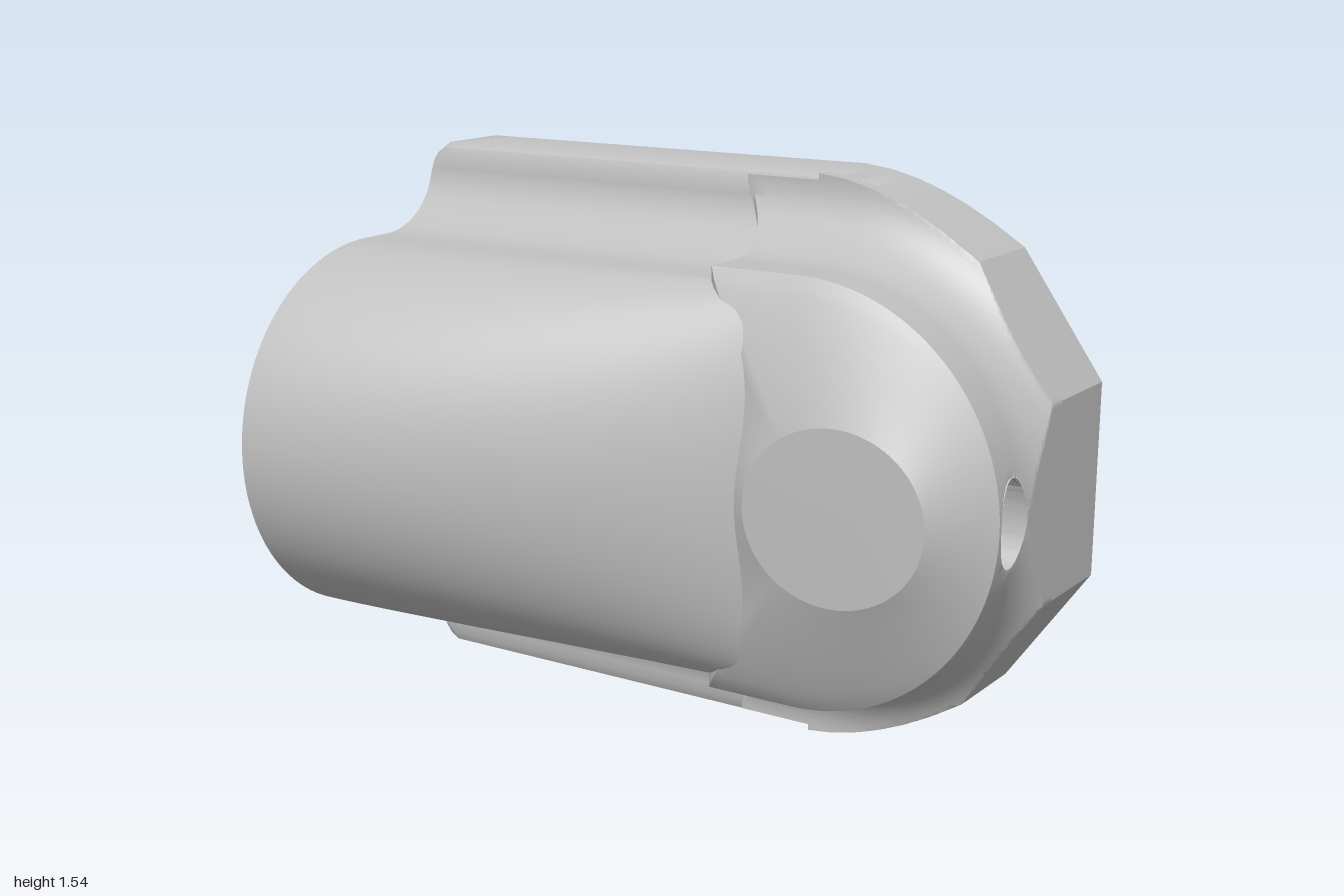
import * as THREE from 'three';
import { toCreasedNormals } from 'three/addons/utils/BufferGeometryUtils.js';

const CY = 0.773;            // height of the mirror line
const BACK = -0.54, FRONT = -0.285, RIM = 0.04, FLARE_TOP = -0.07;
const BOSS_X = 0.43, BOSS_R = 0.565;

// Half height of the base plate along x
const EDGE = [[-1, 0.735], [-0.985, 0.755], [-0.96, 0.772], [0.3, 0.772], [0.38, 0.762], [0.46, 0.742],
  [0.53, 0.717], [0.6, 0.686], [0.68, 0.643], [0.77, 0.587], [1, 0.26]];
function plateHalf(x) {
  for (let i = 1; i < EDGE.length; i++) {
    const [x0, y0] = EDGE[i - 1], [x1, y1] = EDGE[i];
    if (x <= x1) return y0 + (y1 - y0) * (x - x0) / (x1 - x0);
  }
  return 0.26;
}

// Height of the sloping ridge along x
function ridge(x) {
  if (x > 0.3) return THREE.MathUtils.mapLinear(x, 0.3, 0.6, 0.182, 0.07);
  return 0.54 - 0.245 * Math.pow(Math.max(0, x + 1), 1.45);
}

// Outward flare of the walls where they run into the plate
function flare(z) {
  const w = Math.min(1, Math.max(0, (FLARE_TOP - z) / (FLARE_TOP - FRONT)));
  return 0.19 * (1 - Math.sqrt(1 - w * w));
}

// Skin over closed rings of equal length, with optional end fans
function loft(rings, capStart, capEnd) {
  const n = rings[0].length, pos = [], idx = [];
  rings.forEach(r => r.forEach(p => pos.push(p[0], p[1] + CY, p[2])));
  for (let i = 0; i < rings.length - 1; i++) for (let j = 0; j < n; j++) {
    const a = i * n + j, b = i * n + (j + 1) % n, c = a + n, d = b + n;
    idx.push(a, b, c, b, d, c);
  }
  const fan = (row, flip) => {
    const c = pos.length / 3, m = [0, 0, 0];
    rings[row].forEach(p => p.forEach((v, k) => { m[k] += v / n; }));
    pos.push(m[0], m[1] + CY, m[2]);
    for (let j = 0; j < n; j++) {
      const a = row * n + j, b = row * n + (j + 1) % n;
      idx.push(c, flip ? b : a, flip ? a : b);
    }
  };
  if (capStart) fan(0, true);
  if (capEnd) fan(rings.length - 1, false);
  const g = new THREE.BufferGeometry();
  g.setAttribute('position', new THREE.Float32BufferAttribute(pos, 3));
  g.setIndex(idx);
  return toCreasedNormals(g, 0.6);
}

// Mirror the +y half of a section and join both halves through an arch
function archSection(x, side, half, base, top) {
  const ring = side.map(([y, z]) => [x, y, z]);
  for (let i = 0; i <= 48; i++) {
    const a = Math.PI * i / 48;
    ring.push([x, half * Math.cos(a), base + (top - base) * Math.sin(a)]);
  }
  [...side].reverse().forEach(([y, z]) => ring.push([x, -y, z]));
  return ring;
}

function bodySection(x) {
  const p = plateHalf(x);
  const side = [[p, BACK], [p, -0.325], [p - 0.012, -0.298], [p - 0.04, FRONT]];
  for (let i = 1; i < 16; i++) {
    const z = FLARE_TOP - (FLARE_TOP - FRONT) * Math.sin(Math.PI / 2 * (1 - i / 16));
    side.push([Math.min(p - 0.04, 0.53 + flare(z)), z]);
  }
  return archSection(x, side, 0.53, 0.01, ridge(x));
}

const cavitySection = x => archSection(x, [[0.4, -0.32], [0.4, -0.01]], 0.4, 0, ridge(x) - 0.17);

// D-shaped boss outline, grown by f and trimmed to the plate
function bossOutline(f, z) {
  const r = BOSS_R + f, xl = 0.18 - f * 0.5, pts = [];
  for (let i = 0; i <= 240; i++) {
    const t = -Math.PI / 2 + Math.PI * i / 240;
    pts.push([BOSS_X + r * Math.cos(t), r * Math.sin(t)]);
  }
  for (let i = 1; i <= 8; i++) pts.push([BOSS_X + (xl - BOSS_X) * i / 8, r]);
  for (let i = 1; i <= 24; i++) pts.push([xl, r - 2 * r * i / 24]);
  for (let i = 1; i < 8; i++) pts.push([xl + (BOSS_X - xl) * i / 8, -r]);
  return pts.map(([x, y]) => {
    const inside = k => {
      const px = BOSS_X + (x - BOSS_X) * k;
      return px <= 1 && Math.abs(y * k) <= plateHalf(px);
    };
    let lo = 0, hi = 1;
    if (inside(1)) lo = 1;
    else for (let i = 0; i < 22; i++) { const m = (lo + hi) / 2; if (inside(m)) lo = m; else hi = m; }
    return [BOSS_X + (x - BOSS_X) * lo, y * lo, z];
  });
}

// Sink the round hole into the end of the boss
function drill(p) {
  const [x, y, z] = p, q = Math.hypot(y / 0.115, (z + 0.04) / 0.07);
  if (x < 0.9 || q > 1.1) return p;
  if (q < 0.85) return [x - 0.35, y * 1.12, -0.04 + (z + 0.04) * 1.12];
  return [x, y / q, -0.04 + (z + 0.04) / q];
}

// Boss wall and the dome narrowing to a slightly tilted pad
function bossRings() {
  const rings = [];
  for (let i = 0; i < 60; i++) {
    const z = RIM - (RIM - FRONT) * Math.sin(Math.PI / 2 * (1 - i / 60));
    rings.push(bossOutline(flare(z), z).map(drill));
  }
  const rim = bossOutline(0, RIM);
  for (let i = 0; i <= 14; i++) {
    const s = i / 14;
    rings.push(rim.map(([x, y]) => {
      const a = Math.atan2(y, x - 0.61), ex = 0.61 + 0.245 * Math.cos(a), ey = 0.228 * Math.sin(a);
      const padZ = 0.186 - 0.063 * (ex - 0.365);
      const power = 0.85 + 0.25 * Math.cos(a);
      return [x + (ex - x) * s, y + (ey - y) * s, RIM + (padZ - RIM) * Math.pow(s, power)];
    }));
  }
  return rings;
}

export function createModel() {
  const group = new THREE.Group();
  const grey = new THREE.MeshStandardMaterial({ color: 0xc0c0c0 });
  grey.name = 'plain grey';
  const add = (name, geometry) => {
    const mesh = new THREE.Mesh(geometry, grey);
    mesh.name = name;
    group.add(mesh);
  };

  // Arched body with its flared base
  const xs = [-1, -0.985, -0.96];
  for (let i = 0; i <= 30; i++) xs.push(-0.9 + 0.05 * i);
  add('archedBody', loft(xs.map(bodySection), false, false));

  // Hollow inside the body, open at the end
  const cx = [];
  for (let i = 23; i >= 0; i--) cx.push(-1 + 0.05 * i);
  add('cavity', loft(cx.map(cavitySection), true, false));

  // Flat end face around the opening
  const flat = ring => ring.map(p => new THREE.Vector2(p[2], p[1] + CY));
  const endShape = new THREE.Shape(flat(bodySection(-1)));
  endShape.holes.push(new THREE.Path(flat(cavitySection(-1))));
  const end = new THREE.ShapeGeometry(endShape);
  const ep = end.attributes.position;
  for (let i = 0; i < ep.count; i++) ep.setXYZ(i, -1, ep.getY(i), ep.getX(i));
  end.computeVertexNormals();
  add('endFace', end);

  // Tapered nose of the base plate
  const nose = EDGE.slice(3);
  const outline = [...nose.map(([x, y]) => [x, -y]), ...nose.reverse()];
  const plate = new THREE.ExtrudeGeometry(
    new THREE.Shape(outline.map(([x, y]) => new THREE.Vector2(x, y + CY))),
    { depth: FRONT - BACK, bevelEnabled: false });
  plate.translate(0, 0, BACK);
  add('basePlateNose', toCreasedNormals(plate, 0.35));

  // Boss with dome and end hole, closed by a flat pad
  const rings = bossRings();
  add('boss', loft(rings, false, false));
  add('flatPad', loft(rings.slice(-1), false, true));
  return group;
}
